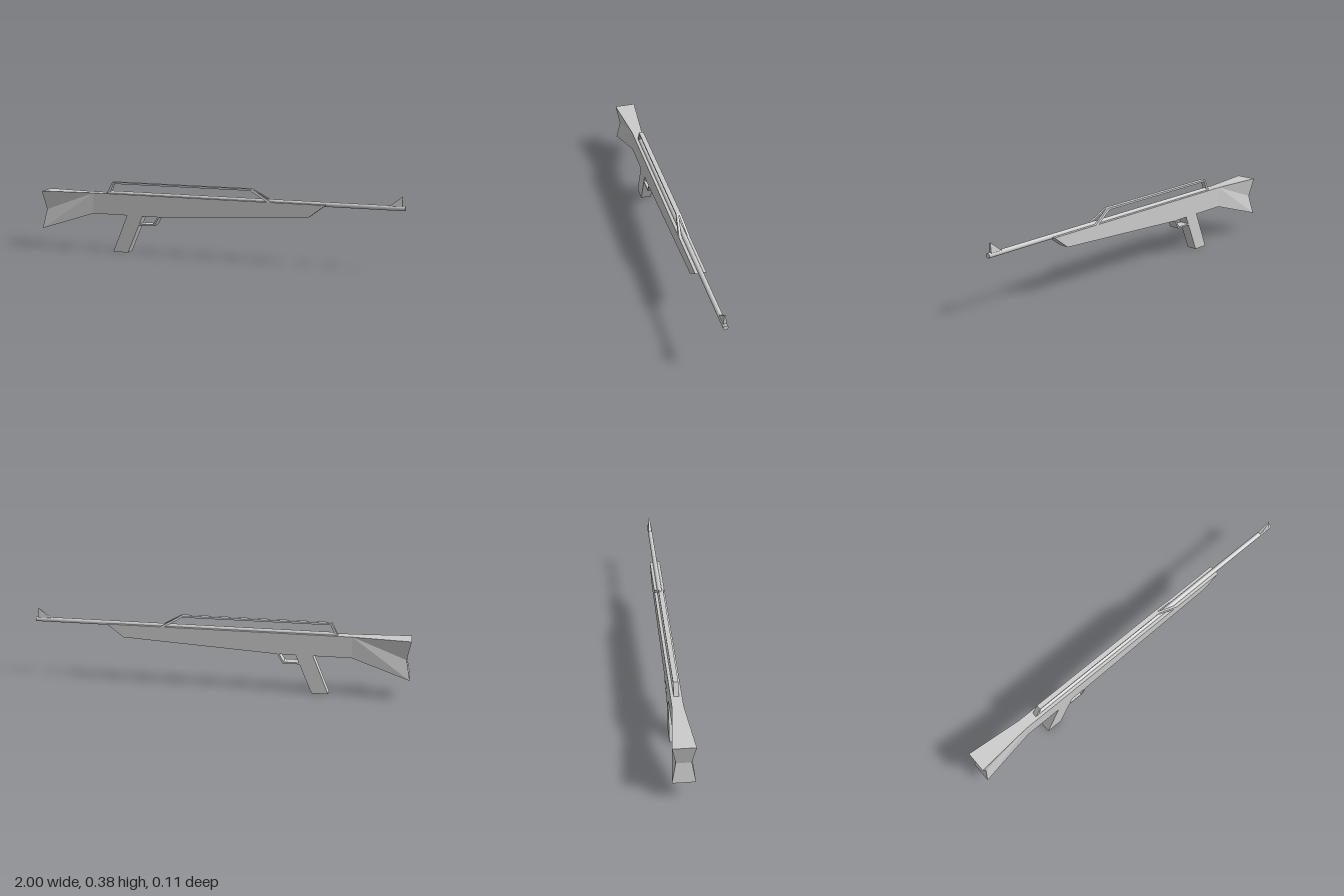
import * as THREE from 'three';

const HALF = 0.028; // half width of the body

// Side profile [x, y] extruded across z from -1 to 1, then z set by a rule.
function slab(name, points, zRule, material) {
  const shape = new THREE.Shape(points.map(([x, y]) => new THREE.Vector2(x, y)));
  const geometry = new THREE.ExtrudeGeometry(shape, { depth: 2, bevelEnabled: false });
  geometry.translate(0, 0, -1);
  const p = geometry.attributes.position;
  for (let i = 0; i < p.count; i++) p.setZ(i, zRule(p.getZ(i), p.getX(i), p.getY(i)));
  geometry.computeVertexNormals();
  const mesh = new THREE.Mesh(geometry, material);
  mesh.name = name;
  return mesh;
}

export function createModel() {
  const group = new THREE.Group();
  group.name = 'rifle';
  const flat = new THREE.MeshStandardMaterial({ color: 0xcccccc, flatShading: true });
  const smooth = new THREE.MeshStandardMaterial({ color: 0xcccccc });
  const width = (w) => (u) => u * w;
  const add = (name, points, rule) => group.add(slab(name, points, rule, flat));

  // Receiver and fore-end
  add('receiver', [
    [-0.7, 0.318], [-0.7, 0.205], [-0.31, 0.205], [0.51, 0.25], [0.6, 0.318],
  ], width(HALF));

  // Butt stock flaring to the rear, with a notched butt
  add('stock', [
    [-0.7, 0.318], [-1, 0.318], [-0.98, 0.214], [-1, 0.11], [-0.7, 0.205],
  ], (u, x) => u * (x < -0.99 ? 0.056 : x < -0.9 ? 0.037 : HALF));

  // Pistol grip
  add('grip', [[-0.5, 0.206], [-0.585, 0], [-0.498, 0], [-0.41, 0.206]], width(HALF));

  // Trigger guard, a bent strip
  add('triggerGuard', [
    [-0.433, 0.155], [-0.343, 0.155], [-0.314, 0.205], [-0.324, 0.205],
    [-0.349, 0.163], [-0.429, 0.163],
  ], width(HALF));

  // Barrel running along the top of the receiver
  const barrel = new THREE.Mesh(new THREE.CylinderGeometry(0.0125, 0.0125, 1.61, 16), smooth);
  barrel.name = 'barrel';
  barrel.rotation.z = -Math.PI / 2;
  barrel.position.set(0.195, 0.319, 0);
  group.add(barrel);

  // Carrying handle: rear strut and long bar
  add('handleBar', [
    [-0.625, 0.318], [-0.593, 0.381], [0.2, 0.381], [0.195, 0.371],
    [-0.586, 0.371], [-0.608, 0.318],
  ], width(0.0125));

  // Handle front legs, splaying down to the sides of the receiver
  for (const side of [1, -1]) {
    add(side > 0 ? 'handleLegLeft' : 'handleLegRight', [
      [0.195, 0.381], [0.2, 0.381], [0.31, 0.318], [0.288, 0.318], [0.195, 0.371],
    ], (u, x, y) => {
      const t = Math.min(1, (0.381 - y) / 0.063);
      return side * (0.00625 + 0.01575 * t) + u * 0.00625;
    });
  }

  // Front sight blade, tapering upward
  add('frontSight', [[0.915, 0.325], [0.985, 0.325], [0.985, 0.38]],
    (u, x, y) => u * (y > 0.35 ? 0.003 : 0.009));

  return group;
}
